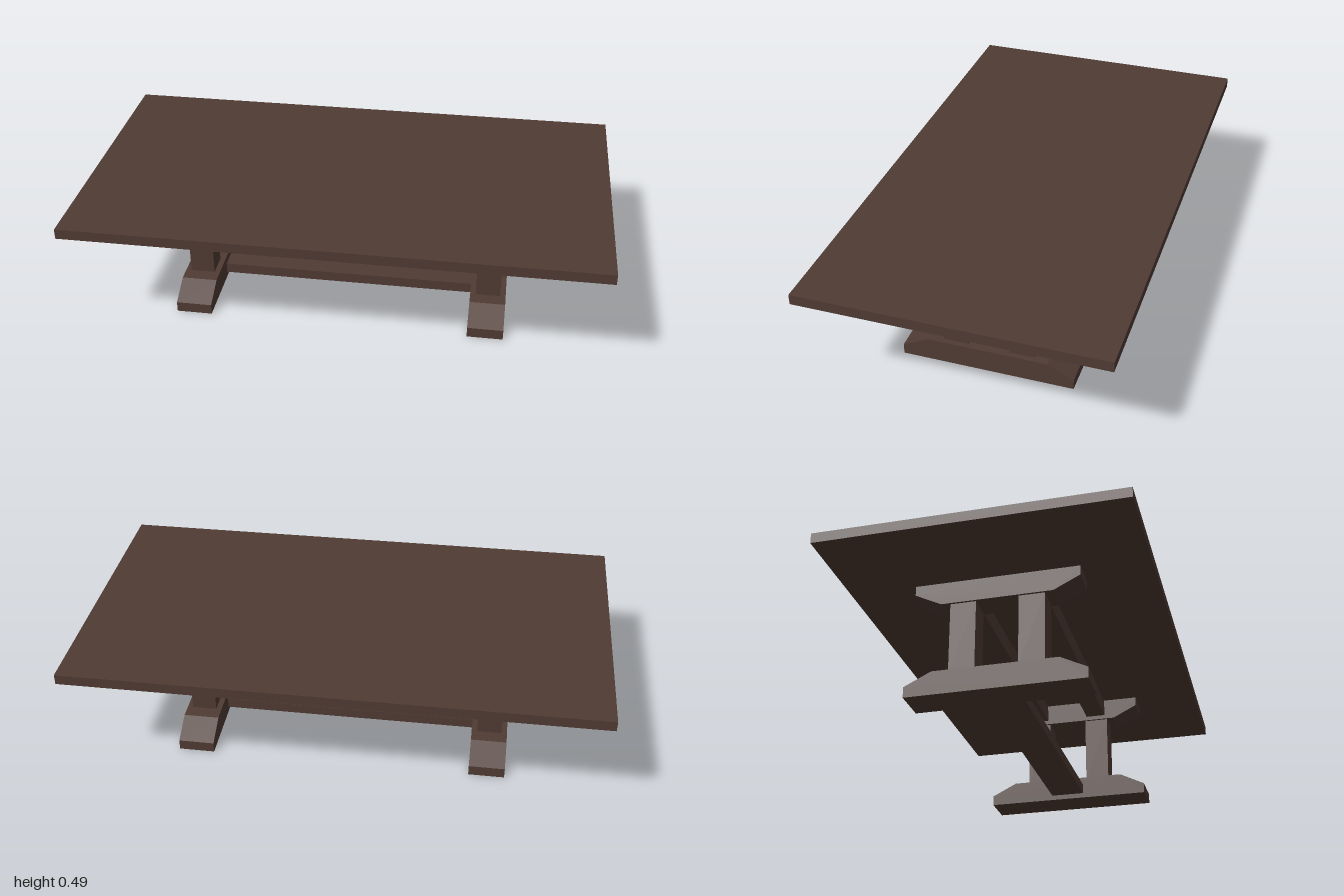
import * as THREE from 'three';

export function createModel() {
  const model = new THREE.Group();
  model.name = 'trestleTable';
  const wood = new THREE.MeshStandardMaterial({ color: 0x503b34 });
  wood.name = 'darkWood';

  function add(parent, name, geometry, x, y, z) {
    const mesh = new THREE.Mesh(geometry, wood);
    mesh.name = name;
    mesh.position.set(x, y, z);
    parent.add(mesh);
  }
  // box given by its size and its bottom height
  const box = (parent, name, w, h, d, x, y, z) =>
    add(parent, name, new THREE.BoxGeometry(w, h, d), x, y + h / 2, z);

  // chamfered beam running along z: [z, y] half profile is mirrored
  function beam(parent, name, half, width) {
    const points = [...half, ...half.map(([z, y]) => [-z, y]).reverse()];
    const shape = new THREE.Shape(points.map(([z, y]) => new THREE.Vector2(z, y)));
    const geometry = new THREE.ExtrudeGeometry(shape, { depth: width, bevelEnabled: false });
    geometry.translate(0, 0, -width / 2).rotateY(-Math.PI / 2);
    add(parent, name, geometry, 0, 0, 0);
  }

  box(model, 'tableTop', 2, 0.039, 1.126, 0, 0.453, 0);

  const base = new THREE.Group();
  base.name = 'base';
  base.position.x = -0.004;
  model.add(base);

  // trestles: foot, two posts and a bearer under the top
  for (const side of [-1, 1]) {
    const trestle = new THREE.Group();
    trestle.name = side > 0 ? 'leftTrestle' : 'rightTrestle';
    trestle.position.x = side * 0.571;
    base.add(trestle);
    beam(trestle, 'foot', [[0.333, 0], [0.333, 0.041], [0.232, 0.091]], 0.138);
    beam(trestle, 'bearer', [[0.209, 0.366], [0.309, 0.416], [0.309, 0.453]], 0.112);
    for (const z of [-0.128, 0.128]) box(trestle, 'post', 0.095, 0.275, 0.097, 0, 0.091, z);
  }

  // rails under the top and the low stretcher plank
  for (const z of [-0.128, 0.128]) box(base, 'topRail', 1.034, 0.07, 0.08, 0, 0.383, z);
  box(base, 'stretcher', 1.008, 0.041, 0.135, 0, 0.02, 0);

  return model;
}
